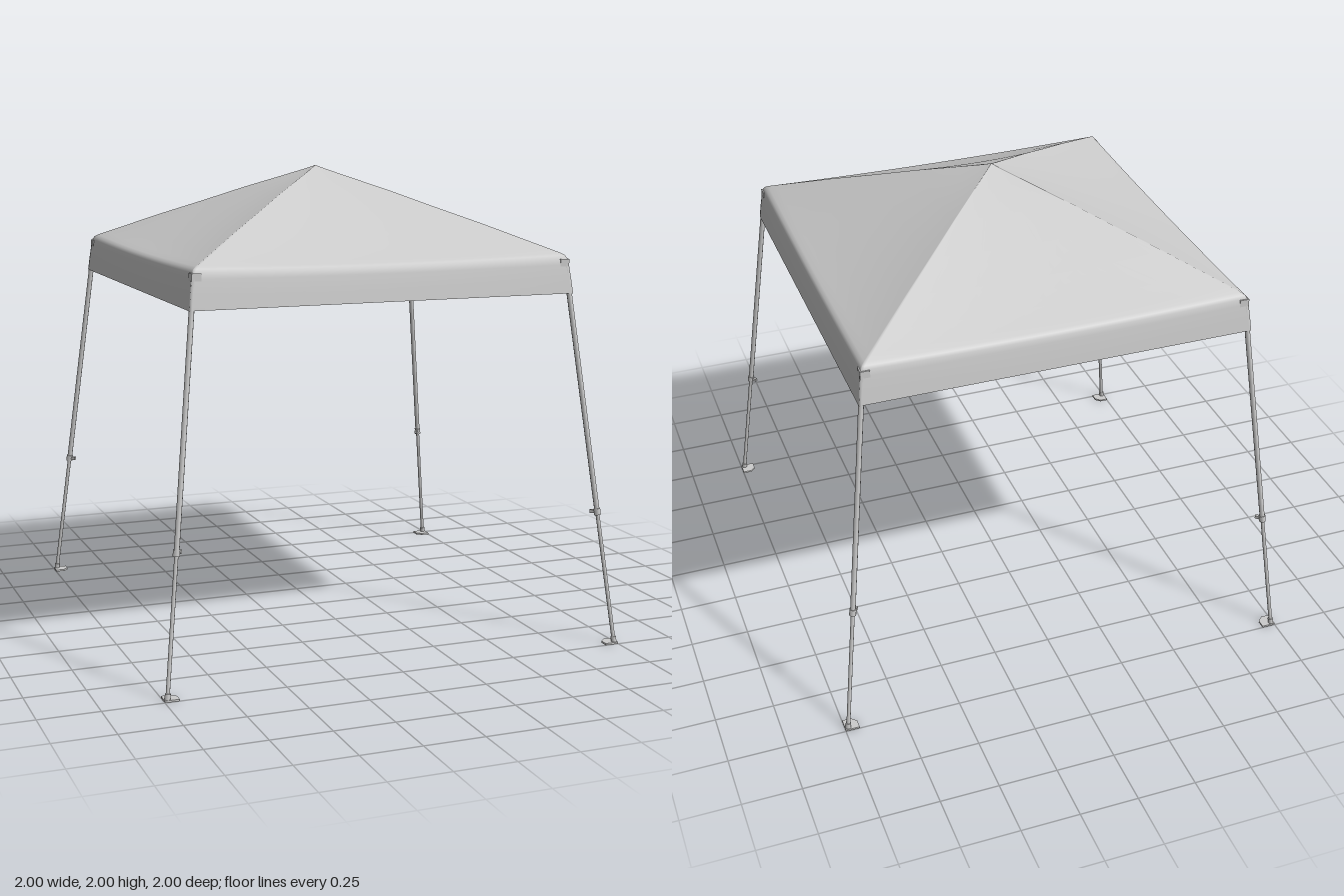
import * as THREE from 'three';

const grey = new THREE.MeshStandardMaterial({ color: 0xcccccc });
grey.name = 'lightGrey';
const fabric = new THREE.MeshStandardMaterial({ color: 0xcccccc, side: THREE.DoubleSide });
fabric.name = 'lightGreyFabric';

const V = (x, y, z) => new THREE.Vector3(x, y, z);

// Straight tube between two points
function bar(name, a, b, r, sides = 10) {
  const m = new THREE.Mesh(new THREE.CylinderGeometry(r, r, a.distanceTo(b), sides), grey);
  m.name = name;
  m.position.copy(a).lerp(b, 0.5);
  m.quaternion.setFromUnitVectors(V(0, 1, 0), b.clone().sub(a).normalize());
  return m;
}

function box(name, w, h, d, x, y, z, turn = 0) {
  const m = new THREE.Mesh(new THREE.BoxGeometry(w, h, d), grey);
  m.name = name;
  m.position.set(x, y, z);
  m.rotation.y = turn;
  return m;
}

// Fabric roof and valance: square rings [half width, height, sag at mid-side]
function canopy() {
  const rings = [
    [0.001, 2, 0], [0.03, 1.986, 0], [0.12, 1.949, 0.003], [0.25, 1.896, 0.008],
    [0.4, 1.83, 0.014], [0.55, 1.766, 0.018], [0.68, 1.707, 0.017], [0.76, 1.671, 0.014],
    [0.79, 1.657, 0.012], [0.804, 1.648, 0.011], [0.812, 1.635, 0.01], [0.817, 1.61, 0.007],
    [0.825, 1.55, 0.003], [0.832, 1.49, 0],
  ];
  const n = 20, around = 4 * n, pos = [], idx = [];
  for (const [h, y, sag] of rings) {
    for (let side = 0; side < 4; side++) {
      for (let i = 0; i < n; i++) {
        // points crowd towards the corners
        const s = -Math.cos((i / n) * Math.PI);
        const p = V(s * h, y - sag * (1 - s * s), h).applyAxisAngle(V(0, 1, 0), side * Math.PI / 2);
        pos.push(p.x, p.y, p.z);
      }
    }
  }
  for (let r = 0; r < rings.length - 1; r++) {
    for (let i = 0; i < around; i++) {
      const j = (i + 1) % around, a = r * around, b = a + around;
      idx.push(a + i, b + i, b + j, a + i, b + j, a + j);
    }
  }
  // close the tiny peak
  pos.push(0, 2, 0);
  for (let i = 0; i < around; i++) idx.push(rings.length * around, i, (i + 1) % around);
  const g = new THREE.BufferGeometry();
  g.setAttribute('position', new THREE.Float32BufferAttribute(pos, 3));
  g.setIndex(idx);
  g.computeVertexNormals();
  const m = new THREE.Mesh(g, fabric);
  m.name = 'canopy';
  return m;
}

// Foot plate: square with one clipped corner and a peg hole
function footPlate() {
  const s = new THREE.Shape();
  s.moveTo(-0.03, -0.03);
  s.lineTo(0.03, -0.03);
  s.lineTo(0.03, 0.008);
  s.lineTo(0.008, 0.03);
  s.lineTo(-0.03, 0.03);
  s.closePath();
  const hole = new THREE.Path();
  hole.absarc(-0.02, -0.02, 0.005, 0, Math.PI * 2, true);
  s.holes.push(hole);
  const g = new THREE.ExtrudeGeometry(s, { depth: 0.008, bevelEnabled: false, curveSegments: 6 });
  g.rotateX(-Math.PI / 2);
  const m = new THREE.Mesh(g, grey);
  m.name = 'footPlate';
  return m;
}

// One corner: slanted telescopic leg, foot, brackets and roof rib
function corner() {
  const g = new THREE.Group();
  g.name = 'cornerLeg';
  const at = (y) => { const d = 0.987 - y * 0.112; return V(d, y, d); };
  g.add(bar('lowerLeg', at(0.004), at(0.62), 0.0085, 8));
  g.add(bar('upperLeg', at(0.57), at(1.625), 0.0115, 8));
  g.add(bar('legCollar', at(0.555), at(0.582), 0.015, 8));
  const lever = at(0.568);
  g.add(box('lockLever', 0.012, 0.014, 0.03, lever.x - 0.012, lever.y, lever.z - 0.012, Math.PI / 4));
  const foot = footPlate();
  foot.rotation.y = Math.PI / 2;
  foot.position.set(0.97, 0, 0.97);
  g.add(foot);
  g.add(bar('footSocket', at(0.006), at(0.03), 0.012, 8));
  g.add(box('topBracket', 0.04, 0.035, 0.04, 0.798, 1.615, 0.798));
  g.add(box('slider', 0.042, 0.035, 0.042, 0.806, 1.515, 0.806));
  g.add(bar('roofRib', V(0.02, 1.945, 0.02), V(0.79, 1.622, 0.79), 0.009, 8));
  g.add(bar('ribBrace', V(0.8, 1.515, 0.8), V(0.6, 1.698, 0.6), 0.007, 8));
  return g;
}

// One side: two scissor pairs that meet in the middle
function truss() {
  const g = new THREE.Group();
  g.name = 'sideTruss';
  for (const s of [-1, 1]) {
    g.add(bar('scissorBar', V(s * 0.79, 1.612, 0.792), V(0, 1.515, 0.792), 0.008, 6));
    g.add(bar('scissorBar', V(s * 0.79, 1.515, 0.778), V(0, 1.612, 0.778), 0.008, 6));
    g.add(bar('pivot', V(s * 0.395, 1.5635, 0.768), V(s * 0.395, 1.5635, 0.802), 0.006, 8));
  }
  g.add(box('middleJoint', 0.03, 0.022, 0.03, 0, 1.612, 0.785));
  g.add(box('middleJoint', 0.03, 0.022, 0.03, 0, 1.515, 0.785));
  return g;
}

export function createModel() {
  const model = new THREE.Group();
  model.name = 'canopyTent';
  model.add(canopy());
  model.add(bar('peakHub', V(0, 1.915, 0), V(0, 1.985, 0), 0.022, 12));
  for (let i = 0; i < 4; i++) {
    for (const part of [corner(), truss()]) {
      part.rotation.y = i * Math.PI / 2;
      model.add(part);
    }
  }
  return model;
}
